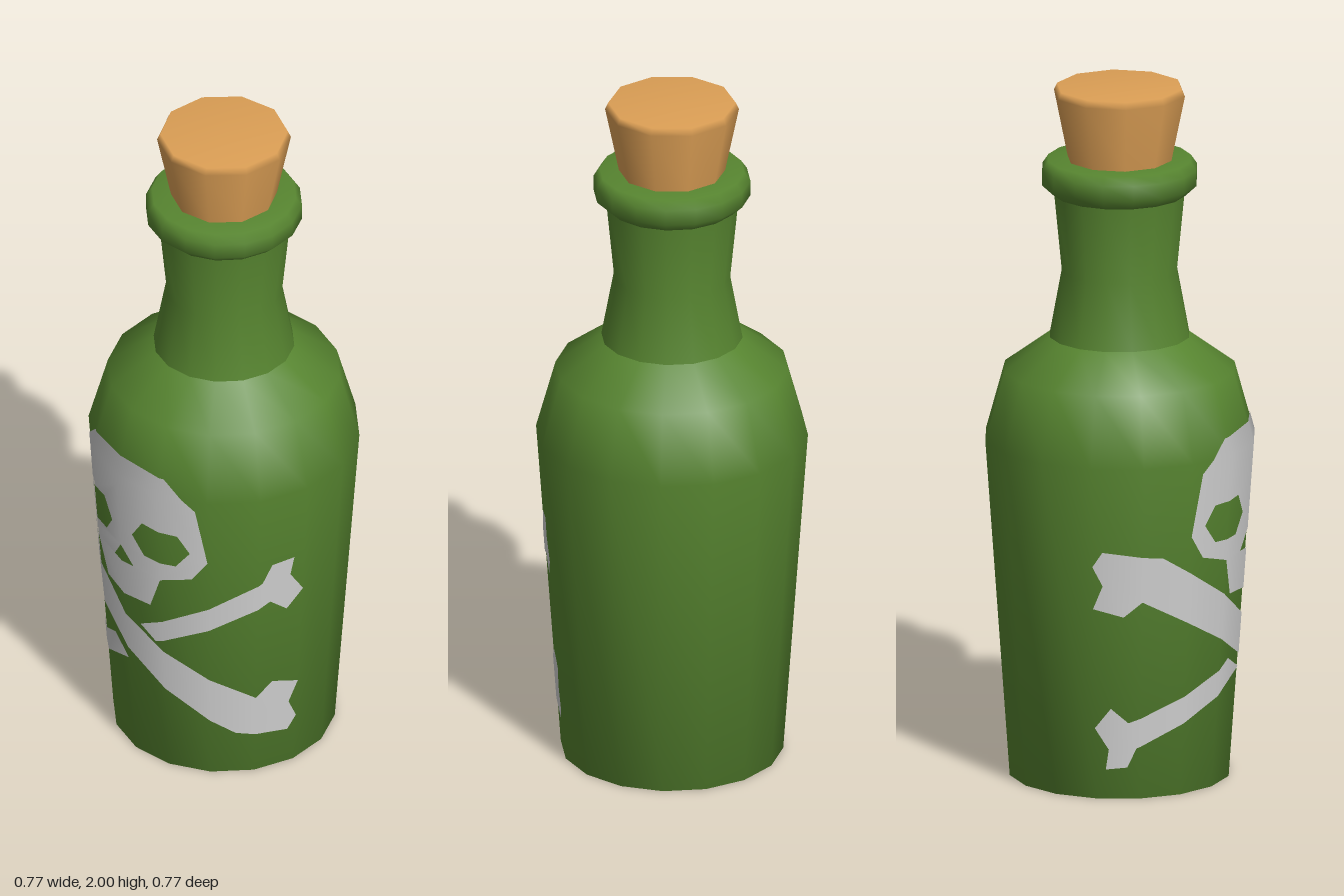
import * as THREE from 'three';

const SIDES = 16, STEP = (Math.PI * 2) / SIDES;
const WIDEST = 0.98; // height of the widest ring of the body
const GREEN = new THREE.MeshStandardMaterial({ color: 0x578530 });
const CORK = new THREE.MeshStandardMaterial({ color: 0xdc9f55 });
const PAINT = new THREE.MeshStandardMaterial({ color: 0xcccccc });

function lathe(name, points, sides, material) {
  const geometry = new THREE.LatheGeometry(points.map(([r, y]) => new THREE.Vector2(r, y)), sides);
  const mesh = new THREE.Mesh(geometry, material);
  mesh.name = name;
  return mesh;
}

// Body radius at a height, for the painted emblem
const bodyRadius = (y) => (y < WIDEST ? 0.315 + (0.07 * y) / WIDEST : 0.385 - (0.055 * (y - WIDEST)) / 0.2);

// Emblem coordinates are [u, y], where u counts facets round from the front.
// A frontal [x, y] becomes [u, y] here.
function fromFront([x, y]) {
  const s = Math.abs(x) / bodyRadius(y);
  let k = 0;
  while (k < 3 && Math.sin((k + 1) * STEP) < s) k++;
  const a = Math.sin(k * STEP), b = Math.sin((k + 1) * STEP);
  return [Math.sign(x) * (k + (s - a) / (b - a)), y];
}

// Point on the faceted body, just above the surface
function onBody([u, y]) {
  const k = Math.floor(u), t = u - k, r = bodyRadius(y) + 0.003;
  const mix = (f) => r * THREE.MathUtils.lerp(f(k * STEP), f((k + 1) * STEP), t);
  return [mix(Math.sin), y, mix(Math.cos)];
}

// Keep the part of a convex polygon on one side of an axis-aligned line
function clip(poly, axis, limit, sign) {
  const out = [];
  poly.forEach((p, i) => {
    const q = poly[(i + 1) % poly.length];
    const dp = (p[axis] - limit) * sign, dq = (q[axis] - limit) * sign;
    if (dp >= 0) out.push(p);
    if (dp * dq < 0) {
      const t = dp / (dp - dq);
      out.push([p[0] + (q[0] - p[0]) * t, p[1] + (q[1] - p[1]) * t]);
    }
  });
  return out;
}

// Wrap a flat outline onto the body, cut along the body's own facet edges
function decal(name, outline, holes = []) {
  const vec = (list) => list.map(([u, y]) => new THREE.Vector2(u, y));
  const shape = new THREE.Shape(vec(outline));
  shape.holes = holes.map((h) => new THREE.Path(vec(h)));
  const flat = new THREE.ShapeGeometry(shape).toNonIndexed().attributes.position;
  const position = [], normal = [];
  for (let i = 0; i < flat.count; i += 3) {
    const tri = [0, 1, 2].map((j) => [flat.getX(i + j), flat.getY(i + j)]);
    for (let k = -4; k < 4; k++) {
      const strip = clip(clip(tri, 0, k, 1), 0, k + 1, -1);
      for (const sign of [-1, 1]) {
        const piece = clip(strip, 1, WIDEST, sign);
        for (let j = 1; j + 1 < piece.length; j++) {
          for (const p of [piece[0], piece[j], piece[j + 1]]) {
            position.push(...onBody(p));
            normal.push(Math.sin(p[0] * STEP), 0, Math.cos(p[0] * STEP));
          }
        }
      }
    }
  }
  const geometry = new THREE.BufferGeometry();
  geometry.setAttribute('position', new THREE.Float32BufferAttribute(position, 3));
  geometry.setAttribute('normal', new THREE.Float32BufferAttribute(normal, 3));
  const mesh = new THREE.Mesh(geometry, PAINT);
  mesh.name = name;
  return mesh;
}

const mirrorX = (list) => list.map(([x, y]) => [-x, y]).reverse();
const turn = (list, midY) => list.map(([u, y]) => [-u, 2 * midY - y]);

export function createModel() {
  const model = new THREE.Group();
  model.name = 'bottle';

  // Glass: body, neck and rim
  model.add(
    lathe('body', [[0, 0], [0.315, 0], [0.385, WIDEST], [0.33, 1.18], [0.2, 1.275]], SIDES, GREEN),
    lathe('neck', [[0.2, 1.275], [0.165, 1.465], [0.187, 1.69]], SIDES, GREEN),
    lathe('rim', [[0.18, 1.69], [0.19, 1.69], [0.222, 1.72], [0.222, 1.765], [0.205, 1.79], [0.12, 1.79]], SIDES, GREEN),
  );

  // Ten-sided tapered stopper
  model.add(lathe('cork', [[0, 1.69], [0.135, 1.69], [0.15, 1.79], [0.189, 1.98], [0.18, 2], [0, 2]], 10, CORK));

  // Painted emblem
  const emblem = new THREE.Group();
  emblem.name = 'emblem';
  const half = [[0.095, 0.56], [0.138, 0.67], [0.217, 0.695], [0.26, 0.765], [0.24, 0.945], [0.154, 1.03]];
  const skull = [[0, 0.555], ...half, [0, 1.04], ...mirrorX(half)];
  const eye = [[0.045, 0.788], [0.085, 0.848], [0.19, 0.842], [0.218, 0.788], [0.18, 0.732], [0.085, 0.732]];
  const nose = [[0, 0.73], [-0.042, 0.672], [0.042, 0.672]];
  emblem.add(decal('skull', skull.map(fromFront), [eye, mirrorX(eye), nose].map((h) => h.map(fromFront))));

  // Whole bone, lower left end to upper right end being a half turn of each other
  const lowEnd = [[2.57, 0.14], [3.8, 0.117], [4, 0.16], [3.8, 0.217], [4, 0.285], [3.38, 0.31], [3, 0.265]];
  emblem.add(decal('frontBone', [[0, 0.362], ...lowEnd, [0, 0.482], ...turn(lowEnd, 0.425)]));

  // Bone behind, shown as two pieces
  const highEnd = [[3.27, 0.605], [3.65, 0.562], [4, 0.62], [3.7, 0.684], [3.77, 0.743], [3.29, 0.737], [3.09, 0.68]];
  emblem.add(
    decal('rearBoneLeft', [[0.8, 0.435], ...highEnd, [0.4, 0.472]]),
    decal('rearBoneRight', [[-0.57, 0.366], ...turn(highEnd, 0.415), [0, 0.324]]),
  );
  model.add(emblem);
  return model;
}
